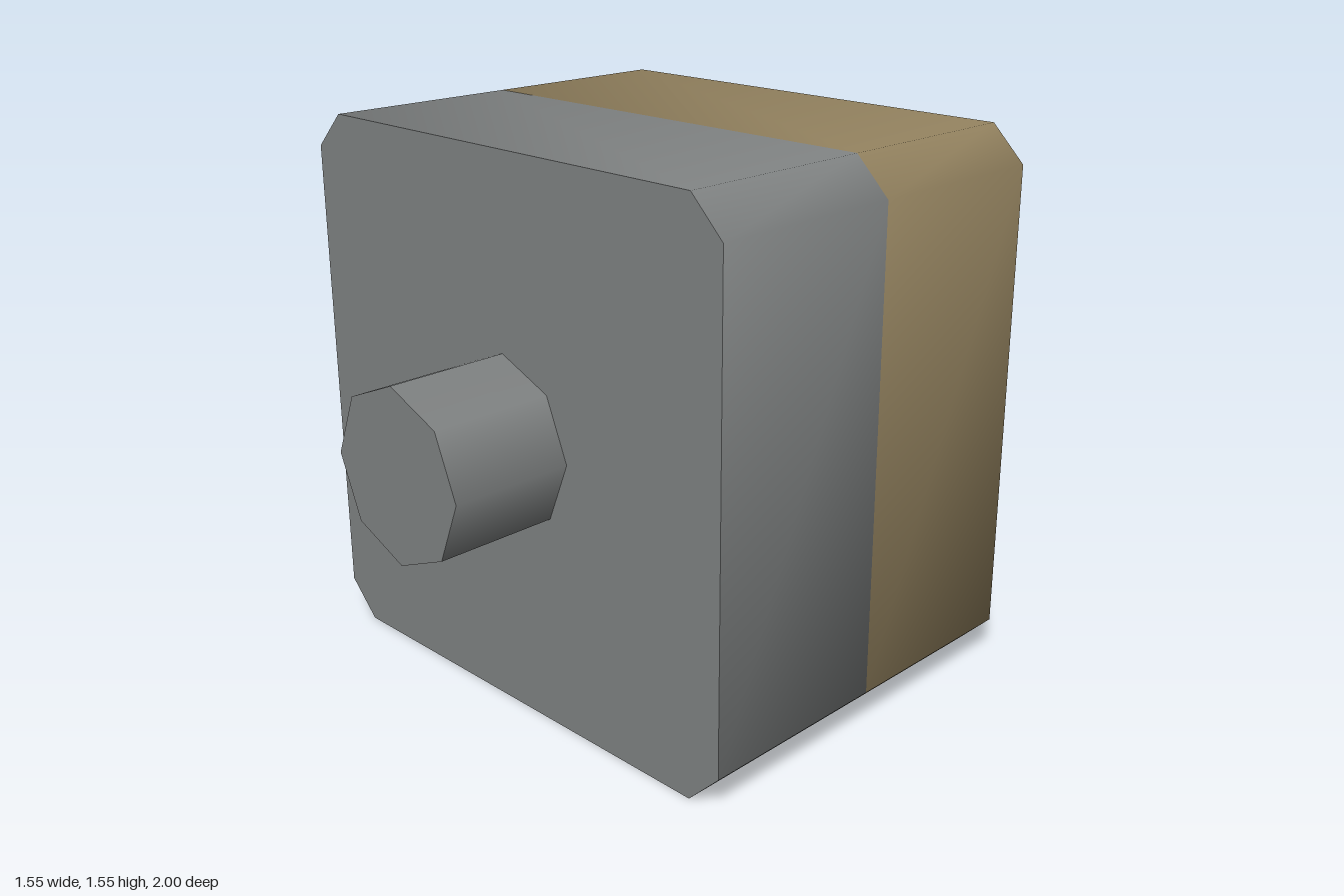
import * as THREE from 'three';
import { toCreasedNormals } from 'three/addons/utils/BufferGeometryUtils.js';

const BACK = -0.512; // rear plane of the body
const MID_Y = 0.777;

export function createModel() {
  const model = new THREE.Group();
  model.name = 'motorBlock';

  const material = (name, color) => {
    const m = new THREE.MeshStandardMaterial({ color });
    m.name = name;
    return m;
  };
  const grey = material('grey metal', 0x808383);
  const tan = material('tan casing', 0x93825f);
  const dark = material('dark slots', 0x2a2b20);

  const add = (name, geometry, mat, x = 0, y = 0, z = 0) => {
    const mesh = new THREE.Mesh(geometry, mat);
    mesh.name = name;
    mesh.position.set(x, y, z);
    model.add(mesh);
    return mesh;
  };
  const extrude = (shape, depth, curveSegments = 3) => toCreasedNormals(
    new THREE.ExtrudeGeometry(shape, { depth, bevelEnabled: false, curveSegments }), 0.9);

  // Square body with chamfered corners, split into two coloured halves
  const h = 0.777, c = 0.677;
  const bodyShape = new THREE.Shape([
    [h, -c], [h, c], [c, h], [-c, h], [-h, c], [-h, -c], [-c, -h], [c, -h],
  ].map(([x, y]) => new THREE.Vector2(x, y)));
  add('frontBody', extrude(bodyShape, 0.58), grey, 0, MID_Y, 0.07);
  add('rearBody', extrude(bodyShape, 0.07 - BACK), tan, 0, MID_Y, BACK);

  // Octagonal shaft
  const shaft = new THREE.CylinderGeometry(0.242, 0.242, 0.36, 8).rotateX(Math.PI / 2);
  add('shaft', shaft, grey, 0, MID_Y, 0.82);

  // Half-round parts behind the body; points run round a six-sided arc
  const arc = (r) => Array.from({ length: 7 }, (_, i) =>
    new THREE.Vector2(r * Math.cos(i * Math.PI / 6), r * Math.sin(i * Math.PI / 6)));
  const halfRound = (outer, inner, height) => {
    const points = inner ? [...arc(outer), ...arc(inner).reverse()] : arc(outer);
    return extrude(new THREE.Shape(points), height).rotateX(-Math.PI / 2);
  };
  add('rearHousing', halfRound(0.488, 0.392, 0.97), tan, 0, 0.292, BACK);
  add('housingLining', halfRound(0.393, 0.386, 0.96), dark, 0, 0.297, BACK);
  add('housingBackPlate', new THREE.BoxGeometry(0.776, 0.96, 0.008), dark, 0, MID_Y, BACK - 0.003);
  add('housingCore', halfRound(0.39, 0, 0.83), grey, 0, 0.362, BACK);

  // Rounded vent slots spaced round the housing
  const w = 0.045, t = 0.333, r = 0.02;
  const slot = new THREE.Shape();
  slot.moveTo(-w + r, -t);
  slot.lineTo(w - r, -t);
  slot.quadraticCurveTo(w, -t, w, -t + r);
  slot.lineTo(w, t - r);
  slot.quadraticCurveTo(w, t, w - r, t);
  slot.lineTo(-w + r, t);
  slot.quadraticCurveTo(-w, t, -w, t - r);
  slot.lineTo(-w, -t + r);
  slot.quadraticCurveTo(-w, -t, -w + r, -t);
  const slotGeometry = extrude(slot, 0.009);
  [28, 59, 90, 121, 152].forEach((degrees, i) => {
    const a = THREE.MathUtils.degToRad(degrees);
    const mesh = add(`ventSlot${i + 1}`, slotGeometry, dark,
      0.479 * Math.cos(a), 0.772, BACK - 0.479 * Math.sin(a));
    mesh.rotation.y = a + Math.PI / 2;
  });

  return model;
}
